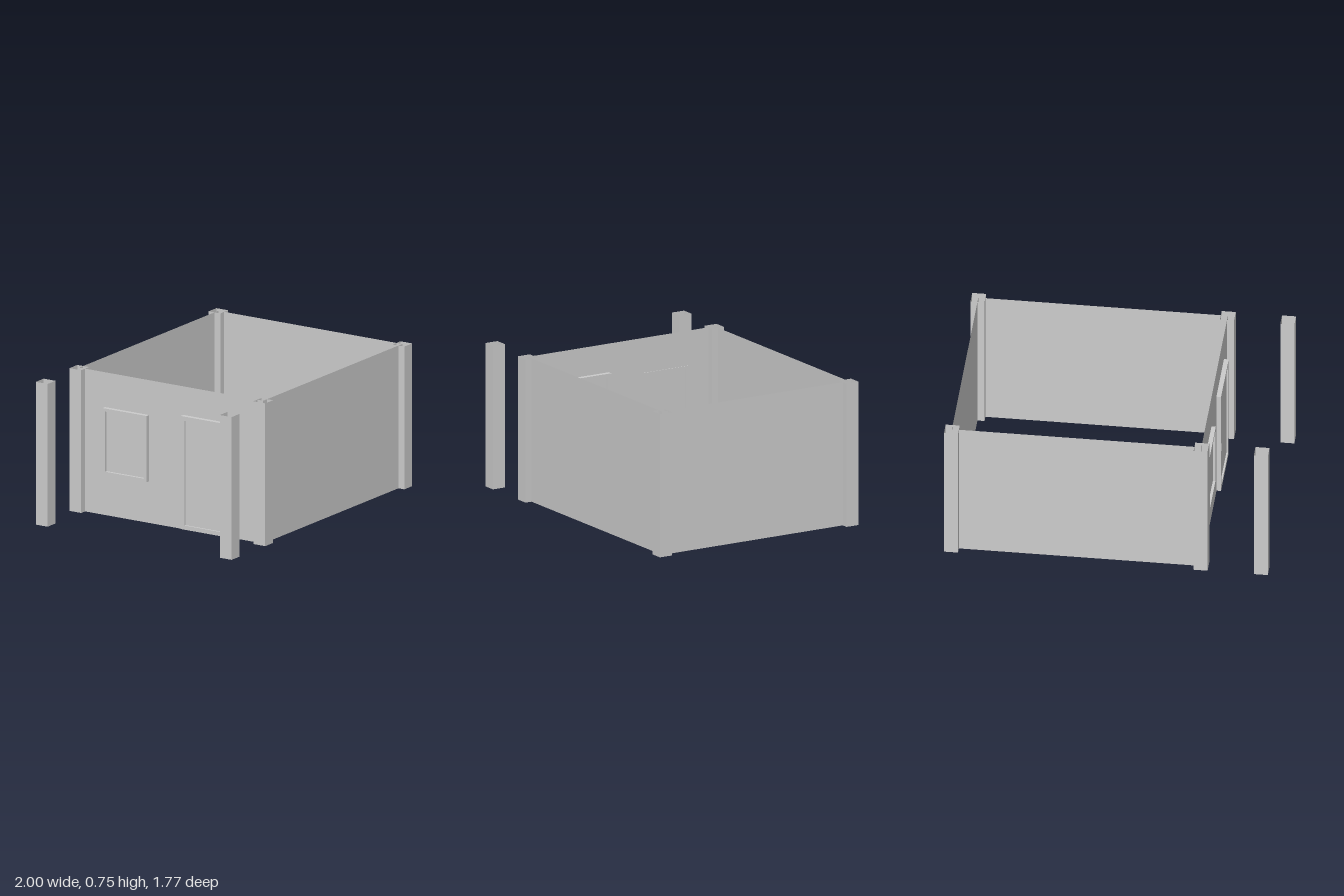
import * as THREE from 'three';

const W = 1.271, D = 1.117, H = 0.75; // room between post centres, wall height
const POST = 0.0716, PORCH = 0.307;

const solid = new THREE.MeshStandardMaterial({ color: 0xcccccc, flatShading: true });
const thin = new THREE.MeshStandardMaterial({ color: 0xcccccc, flatShading: true, side: THREE.DoubleSide });

function rect(Type, z0, z1, y0, y1) {
  const r = new Type();
  r.moveTo(z0, y0);
  r.lineTo(z1, y0);
  r.lineTo(z1, y1);
  r.lineTo(z0, y1);
  r.closePath();
  return r;
}

// Door or window: a rim around a recessed panel; depths run outward from the wall
function opening(name, o) {
  const group = new THREE.Group();
  group.name = name;
  const add = (part, shape, from, to) => {
    const geo = new THREE.ExtrudeGeometry(shape, { depth: to - from, bevelEnabled: false });
    geo.translate(0, 0, from).rotateY(-Math.PI / 2);
    const mesh = new THREE.Mesh(geo, solid);
    mesh.name = part;
    group.add(mesh);
  };
  const b = o.border;
  const rim = rect(THREE.Shape, o.z0, o.z1, o.y0, o.y1);
  rim.holes.push(rect(THREE.Path, o.z0 + b, o.z1 - b, o.y0 + b, o.y1 - b));
  add(name + 'Frame', rim, o.frame[0], o.frame[1]);
  add(name + 'Panel', rect(THREE.Shape, o.z0 + b, o.z1 - b, o.y0 + b, o.y1 - b), o.panel[0], o.panel[1]);
  return group;
}

export function createModel() {
  const model = new THREE.Group();
  model.name = 'room';

  // Square posts, open at both ends: four corners and two porch posts
  const postGeo = new THREE.CylinderGeometry(POST / Math.SQRT2, POST / Math.SQRT2, H, 4, 1, true);
  postGeo.rotateY(Math.PI / 4);
  const addPost = (name, x, z) => {
    const post = new THREE.Mesh(postGeo, thin);
    post.name = name;
    post.position.set(x, H / 2, z);
    model.add(post);
  };
  for (const s of [-1, 1]) {
    addPost('cornerPost', -W / 2, s * D / 2);
    addPost('cornerPost', W / 2, s * D / 2);
    addPost('porchPost', -W / 2 - PORCH, s * D / 2);
  }

  // Sheet walls running between post centres
  const addWall = (name, width, x, z, turn) => {
    const wall = new THREE.Mesh(new THREE.PlaneGeometry(width, H), thin);
    wall.name = name;
    wall.position.set(x, H / 2, z);
    wall.rotation.y = turn;
    model.add(wall);
  };
  addWall('frontWall', W, 0, D / 2, 0);
  addWall('backWall', W, 0, -D / 2, Math.PI);
  addWall('sideWall', D, W / 2, 0, Math.PI / 2);

  // Entrance wall with cut-outs for the door and window
  const door = { z0: 0.073, z1: 0.392, y0: 0.006, y1: 0.6, border: 0.022, frame: [-0.024, 0.024], panel: [-0.015, 0.015] };
  const win = { z0: -0.402, z1: -0.134, y0: 0.219, y1: 0.567, border: 0.016, frame: [-0.003, 0.0225], panel: [-0.002, 0.009] };
  const shape = rect(THREE.Shape, -D / 2, D / 2, 0, H);
  for (const o of [door, win]) shape.holes.push(rect(THREE.Path, o.z0, o.z1, o.y0, o.y1));
  const wall = new THREE.Mesh(new THREE.ShapeGeometry(shape).rotateY(-Math.PI / 2), thin);
  wall.name = 'entranceWall';
  const entrance = new THREE.Group();
  entrance.name = 'entrance';
  entrance.position.x = -W / 2;
  entrance.add(wall, opening('door', door), opening('window', win));

  // Small latch plates on both faces of the door frame
  for (const s of [-1, 1]) {
    const latch = new THREE.Mesh(new THREE.BoxGeometry(0.003, 0.045, 0.007), solid);
    latch.name = 'latchPlate';
    latch.position.set(s * 0.0245, 0.277, 0.082);
    entrance.add(latch);
  }
  model.add(entrance);

  // The whole room stands at an angle
  model.rotation.y = THREE.MathUtils.degToRad(25);
  model.position.set(0.14, 0, -0.0625);

  const root = new THREE.Group();
  root.name = 'walledRoom';
  root.add(model);
  return root;
}
